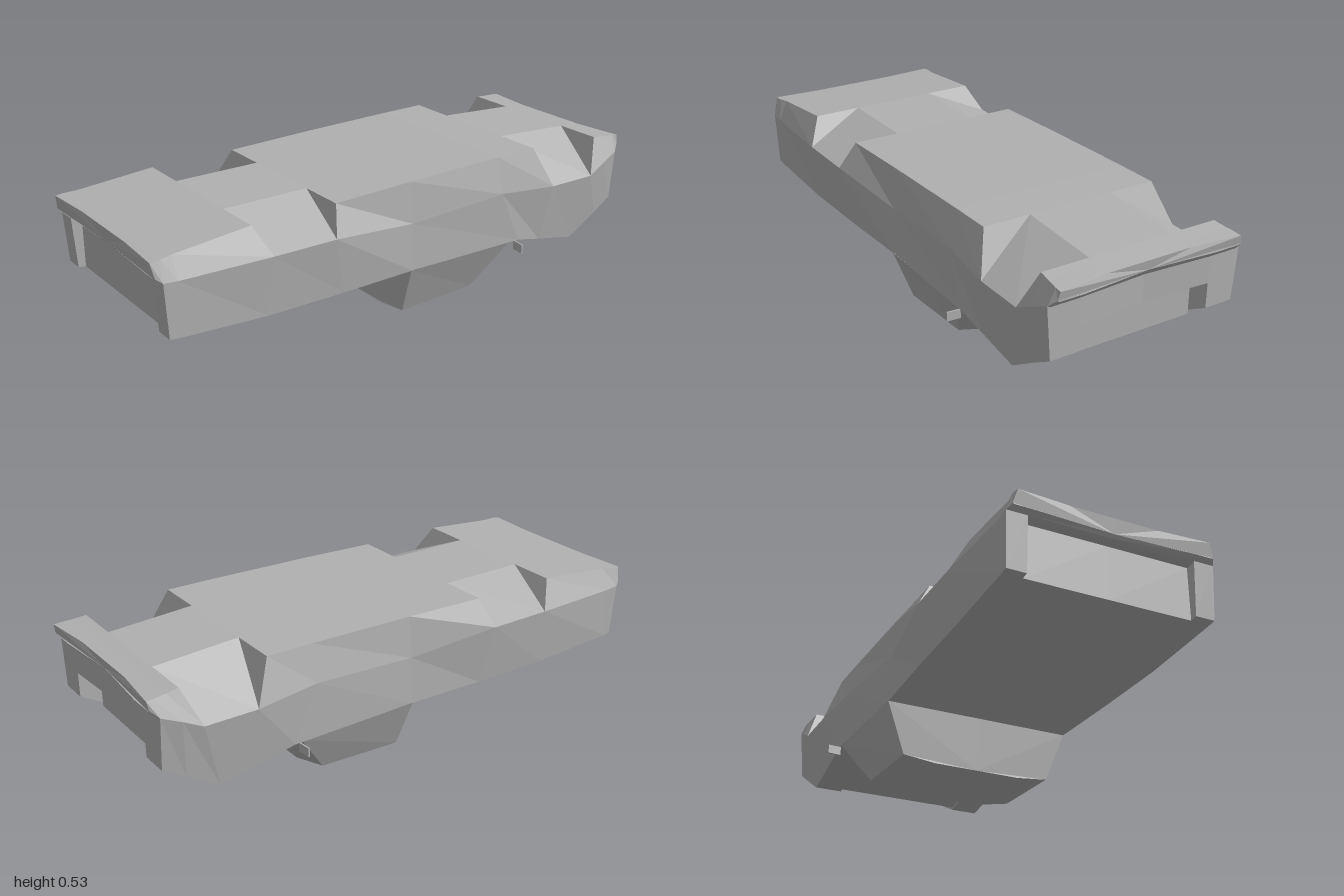
import * as THREE from 'three';

// Skin a row of half cross-sections (listed from low z to high z, each running
// from bottom centre out over +x to top centre), mirrored in x and capped.
function loft(halves) {
  const rings = halves.map(h => [
    ...h,
    ...h.slice(1, -1).reverse().map(([x, y, z]) => [-x, y, z]),
  ].map(p => new THREE.Vector3(...p)));
  const out = [], t = new THREE.Triangle();
  const tri = (a, b, c) => {
    if (t.set(a, b, c).getArea() > 1e-7) for (const p of [a, b, c]) out.push(p.x, p.y, p.z);
  };
  const n = rings[0].length;
  for (let s = 0; s < rings.length - 1; s++) {
    const a = rings[s], b = rings[s + 1];
    for (let i = 0; i < n; i++) {
      const j = (i + 1) % n;
      tri(a[i], a[j], b[j]);
      tri(a[i], b[j], b[i]);
    }
  }
  const first = rings[0], last = rings[rings.length - 1];
  for (let i = 1; i < n - 1; i++) {
    tri(first[0], first[i + 1], first[i]);
    tri(last[0], last[i], last[i + 1]);
  }
  const g = new THREE.BufferGeometry();
  g.setAttribute('position', new THREE.Float32BufferAttribute(out, 3));
  g.computeVertexNormals();
  return g;
}

// Hull section: underside (centre height yc, edge height yb), waist line, top edge.
// A wheel notch folds the top edge down onto the waist; bow insets the centre.
function sec([zb, yc, yb, xb], [zm, xm, ym], [zt, xs, yt], notch = false, bow = 0) {
  const xi = zb > 0 ? 0.3 : 0.25;
  const waist = [xm, ym, zm];
  return [
    [0, yc, zb + bow], [xi, yc, zb], [xi, yb, zb], [xb, yb, zb],
    waist, notch ? waist : [xs, yt, zt],
    [0.16, yt, zt + bow], [0, yt, zt + bow],
  ];
}

export function createModel() {
  const model = new THREE.Group();
  const grey = new THREE.MeshStandardMaterial({ color: 0xb0b0b0, flatShading: true });
  grey.name = 'bodyGrey';
  const add = (name, geometry) => {
    const m = new THREE.Mesh(geometry, grey);
    m.name = name;
    model.add(m);
    return m;
  };

  // Notch ends: each used once open and once folded
  const rearA = [[-0.77, 0.15, 0.14, 0.355], [-0.83, 0.385, 0.385], [-0.885, 0.335, 0.515]];
  const rearB = [[-0.6, 0.175, 0.175, 0.36], [-0.635, 0.385, 0.385], [-0.57, 0.335, 0.533]];
  const frontA = [[0.3, 0.202, 0.202, 0.365], [0.345, 0.39, 0.415], [0.31, 0.335, 0.516]];
  const frontB = [[0.6, 0.205, 0.205, 0.37], [0.585, 0.388, 0.415], [0.635, 0.335, 0.516]];
  const rearEnd = [[-0.97, 0.37, 0.45], [-0.975, 0.345, 0.507]];
  const rearWall = [[-0.9, 0.38, 0.42], [-0.93, 0.34, 0.51]];
  const noseWall = [[0.92, 0.374, 0.415], [0.92, 0.34, 0.491]];

  add('hull', loft([
    // rear lip, rear corners and recess
    sec([-0.995, 0.47, 0.47, 0.345], [-0.995, 0.352, 0.475], [-1, 0.345, 0.505], false, 0.02),
    sec([-0.97, 0.445, 0.445, 0.355], ...rearEnd, false, 0.015),
    sec([-0.97, 0.35, 0.26, 0.355], ...rearEnd, false, 0.015),
    sec([-0.89, 0.35, 0.215, 0.36], ...rearWall),
    sec([-0.89, 0.2, 0.215, 0.36], ...rearWall),
    // rear wheel notches
    sec(...rearA), sec(...rearA, true), sec(...rearB, true), sec(...rearB),
    // pinched middle
    sec([-0.49, 0.2, 0.2, 0.365], [-0.4, 0.365, 0.4], [-0.4, 0.335, 0.532]),
    sec([0, 0.2, 0.2, 0.355], [0, 0.35, 0.375], [0, 0.335, 0.525]),
    // front wheel notches
    sec(...frontA), sec(...frontA, true), sec(...frontB, true), sec(...frontB),
    // recessed nose panel between the corners, then the overhanging lip
    sec([0.93, 0.222, 0.222, 0.37], ...noseWall),
    sec([0.93, 0.415, 0.222, 0.37], ...noseWall),
    sec([0.957, 0.415, 0.225, 0.37], [0.97, 0.374, 0.42], [0.96, 0.348, 0.488]),
    sec([0.97, 0.42, 0.42, 0.37], [0.97, 0.374, 0.42], [0.97, 0.35, 0.487]),
    sec([0.99, 0.432, 0.432, 0.355], [0.99, 0.362, 0.435], [0.998, 0.347, 0.485], false, -0.012),
  ]));

  // Tapered cabin hanging under the hull
  const cabinSec = (y, yEdge, xEdge, zMid, zEdge, zBase, xBase) => [
    [0, y, zMid], [0.165, y, zMid], [xEdge, yEdge, zEdge], [xBase, 0.202, zBase], [0, 0.202, zBase],
  ];
  add('cabin', loft([
    cabinSec(0.2, 0.2, 0.34, -0.5, -0.47, -0.46, 0.362),
    cabinSec(0.012, 0.026, 0.285, -0.36, -0.33, -0.45, 0.362),
    cabinSec(0, 0.014, 0.285, -0.01, -0.012, 0.005, 0.356),
  ]));

  // Side mirrors
  for (const side of [1, -1]) {
    const mirror = add(side > 0 ? 'leftMirror' : 'rightMirror', new THREE.BoxGeometry(0.05, 0.033, 0.006));
    mirror.position.set(side * 0.387, 0.184, -0.469);
    mirror.rotation.y = side * -0.08;
  }
  return model;
}
